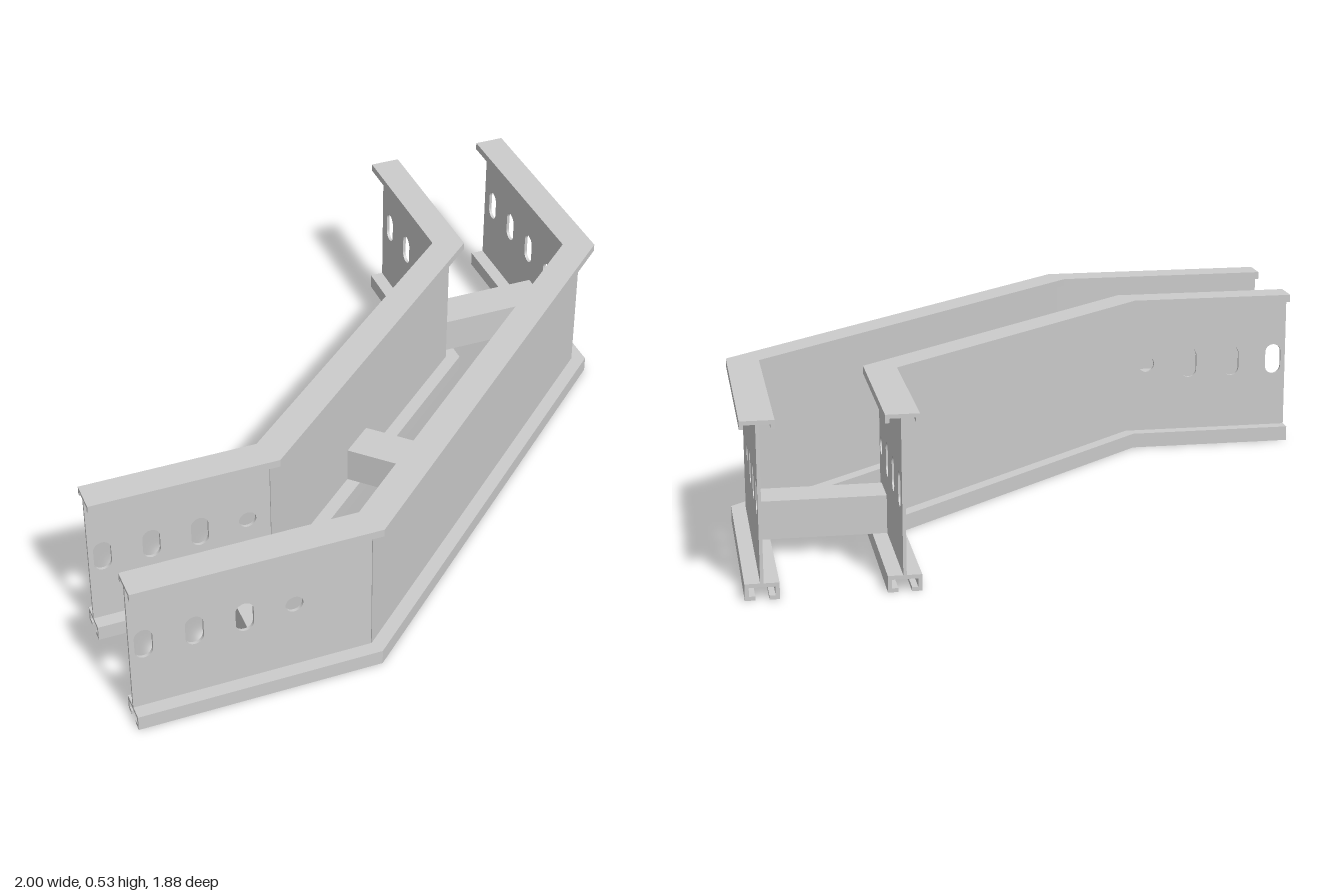
import * as THREE from 'three';

const material = new THREE.MeshStandardMaterial({ color: 0xcccccc, flatShading: true, side: THREE.DoubleSide });

function add(parent, geometry, name) {
  const mesh = new THREE.Mesh(geometry, material);
  mesh.name = name;
  parent.add(mesh);
  return mesh;
}

// Plan paths [x, z] of the two long edges of each rail
const rails = {
  outerRail: {
    a: [[-1, 0.94], [-0.23, 0.94], [1, -0.18], [1, -0.94]],
    b: [[-1, 0.84], [-0.27, 0.84], [0.9, -0.22], [0.9, -0.94]],
  },
  innerRail: {
    a: [[-1, 0.53], [-0.4, 0.53], [0.59, -0.35], [0.59, -0.94]],
    b: [[-1, 0.43], [-0.44, 0.43], [0.49, -0.39], [0.49, -0.94]],
  },
};

// Path lying at fraction t across the rail width
const across = ({ a, b }, t) =>
  a.map((p, i) => [p[0] + (b[i][0] - p[0]) * t, p[1] + (b[i][1] - p[1]) * t]);

// Mitred strip between two fractions of the width, from y0 to y1
function strip(rail, t0, t1, y0, y1, first = 0, last = 4) {
  const outline = [
    ...across(rail, t0).slice(first, last),
    ...across(rail, t1).slice(first, last).reverse(),
  ].map(([x, z]) => new THREE.Vector2(x, -z));
  const g = new THREE.ExtrudeGeometry(new THREE.Shape(outline), { depth: y1 - y0, bevelEnabled: false });
  return g.rotateX(-Math.PI / 2).translate(0, y0, 0);
}

// Upright hole with rounded ends; a zero straight length gives a round hole
function hole(u, y, r, straight) {
  const h = straight / 2;
  const path = new THREE.Path();
  path.absarc(u, y + h, r, 0, Math.PI, false);
  path.absarc(u, y - h, r, Math.PI, Math.PI * 2, false);
  path.closePath();
  return path;
}

const WEB_LOW = 0.04, WEB_HIGH = 0.52, THICK = 0.01;

// Flat web panel from u0 to u1 with its holes
function panel(u0, u1, holes) {
  const s = new THREE.Shape([
    new THREE.Vector2(u0, WEB_LOW), new THREE.Vector2(u1, WEB_LOW),
    new THREE.Vector2(u1, WEB_HIGH), new THREE.Vector2(u0, WEB_HIGH),
  ]);
  s.holes.push(...holes);
  return new THREE.ExtrudeGeometry(s, { depth: THICK, bevelEnabled: false, curveSegments: 10 })
    .translate(0, 0, -THICK / 2);
}

// Three slots and a round hole, running inward from a rail end
const holeRow = (start, dir) => [0, 1, 2, 3].map((i) =>
  hole(start + dir * 0.154 * i, 0.29, 0.028, i < 3 ? 0.05 : 0));

// Flange cross-section: [name, t0, t1, y0, y1]
const flangeParts = [
  ['topFlange', 0, 1, 0.518, 0.53],
  ['topLipOuter', 0, 0.12, 0.505, 0.518],
  ['topLipInner', 0.88, 1, 0.505, 0.518],
  ['bottomFlange', 0, 1, 0.038, 0.05],
  ['bottomLipOuter', 0, 0.12, 0, 0.038],
  ['bottomLipInner', 0.88, 1, 0, 0.038],
  ['bottomReturnOuter', 0.12, 0.3, 0, 0.012],
  ['bottomReturnInner', 0.7, 0.88, 0, 0.012],
];

function makeRail(name, rail) {
  const group = new THREE.Group();
  group.name = name;
  for (const [part, ...dims] of flangeParts) add(group, strip(rail, ...dims), part);
  // Solid web of the diagonal and pierced webs of the two ends
  add(group, strip(rail, 0.45, 0.55, WEB_LOW, WEB_HIGH, 1, 3), 'middleWeb');
  const mid = across(rail, 0.5);
  const side = add(group, panel(-1, mid[1][0], holeRow(-0.956, 1)), 'sideEndWeb');
  side.position.z = mid[0][1];
  const back = add(group, panel(-mid[2][1], 0.94, holeRow(0.873, -1)), 'backEndWeb');
  back.rotation.y = Math.PI / 2;
  back.position.x = mid[3][0];
  return group;
}

export function createModel() {
  const model = new THREE.Group();
  model.name = 'cableLadderBend';
  for (const [name, rail] of Object.entries(rails)) model.add(makeRail(name, rail));

  // Rungs joining the rails: [name, x, z, turn]
  const rungs = [
    ['sideRung', -0.548, 0.685, Math.PI / 2],
    ['middleRung', 0.16, 0.235, -Math.PI / 4],
    ['backRung', 0.745, -0.473, 0],
  ];
  for (const [name, x, z, turn] of rungs) {
    const rung = add(model, new THREE.BoxGeometry(0.4, 0.12, 0.135), name);
    rung.position.set(x, 0.11, z);
    rung.rotation.y = turn;
  }
  return model;
}
